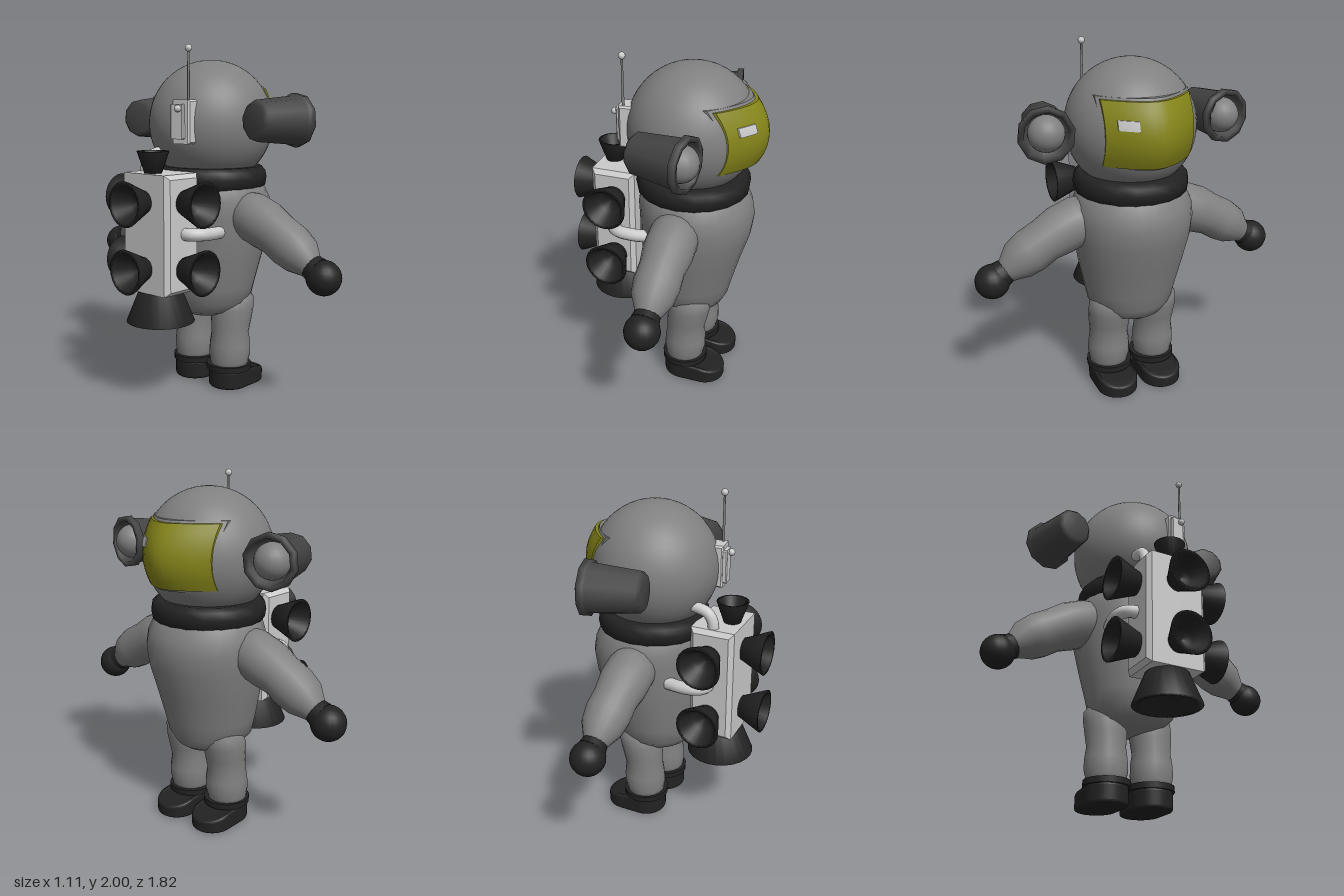
import * as THREE from 'three';

const V = (x, y, z) => new THREE.Vector3(x, y, z);
const mat = (color, opts = {}) => new THREE.MeshStandardMaterial({ color, ...opts });

export function createModel() {
  const model = new THREE.Group();
  const suit = mat(0x808080), dark = mat(0x222222), lampGrey = mat(0x444444);
  const light = mat(0xcccccc), gold = mat(0x85851a);
  const bellMat = mat(0x222222, { side: THREE.DoubleSide });
  const lampMat = mat(0x444444, { side: THREE.DoubleSide });

  const add = (name, geo, material, x = 0, y = 0, z = 0) => {
    const m = new THREE.Mesh(geo, material);
    m.name = name;
    m.position.set(x, y, z);
    model.add(m);
    return m;
  };
  const lathe = (pts, seg) => new THREE.LatheGeometry(pts.map(p => new THREE.Vector2(p[0], p[1])), seg);
  const aim = (mesh, dir) => mesh.quaternion.setFromUnitVectors(V(0, 1, 0), dir.clone().normalize());

  // Smooth skin over rings {c, u, v}: centre and the two half axes, with end caps
  const loft = (rings, seg = 24) => {
    const pos = [], idx = [];
    const n = rings.length;
    rings.forEach(({ c, u, v }) => {
      for (let j = 0; j < seg; j++) {
        const a = (j / seg) * Math.PI * 2;
        pos.push(...c.clone().addScaledVector(u, Math.cos(a)).addScaledVector(v, Math.sin(a)).toArray());
      }
    });
    pos.push(...rings[0].c.toArray(), ...rings[n - 1].c.toArray());
    for (let j = 0; j < seg; j++) {
      const k = (j + 1) % seg;
      for (let i = 0; i < n - 1; i++) {
        const a = i * seg + j, b = i * seg + k;
        idx.push(a, b, b + seg, a, b + seg, a + seg);
      }
      idx.push(n * seg, k, j, n * seg + 1, (n - 1) * seg + j, (n - 1) * seg + k);
    }
    const g = new THREE.BufferGeometry();
    g.setAttribute('position', new THREE.Float32BufferAttribute(pos, 3));
    g.setIndex(idx);
    g.computeVertexNormals();
    return g;
  };

  // Box with chamfered edges
  const chamferBox = (w, h, d, b) => {
    const x = w / 2 - b, y = h / 2 - b;
    const s = new THREE.Shape([[-x, -y], [x, -y], [x, y], [-x, y]].map(p => new THREE.Vector2(...p)));
    return new THREE.ExtrudeGeometry(s, {
      depth: d - 2 * b, bevelEnabled: true, bevelSize: b, bevelThickness: b, bevelSegments: 1,
    }).translate(0, 0, b - d / 2);
  };

  // Torso: y, centre x, half depth, half width
  const torso = [
    [0.42, 0.13, 0.07, 0.03], [0.44, 0.13, 0.15, 0.12], [0.47, 0.125, 0.2, 0.19], [0.53, 0.122, 0.235, 0.25],
    [0.62, 0.122, 0.257, 0.27], [0.8, 0.135, 0.293, 0.31], [0.95, 0.153, 0.322, 0.335],
    [1.06, 0.16, 0.33, 0.343], [1.14, 0.15, 0.325, 0.338], [1.21, 0.14, 0.3, 0.31], [1.26, 0.13, 0.26, 0.27],
  ];
  add('torso', loft(torso.map(([y, cx, rx, rz]) => ({ c: V(cx, y, 0), u: V(0, 0, rz), v: V(rx, 0, 0) })), 28), suit);

  // Helmet and collar ring
  add('helmet', new THREE.SphereGeometry(0.363, 40, 28), suit, 0.125, 1.572, 0);
  add('collar', lathe([[0.2, 1.19], [0.29, 1.19], [0.318, 1.215], [0.325, 1.26], [0.318, 1.3], [0.295, 1.325], [0.2, 1.325]], 20),
    dark, 0.133, 0, 0);

  // Visor pieces: boxes bent to a curved front
  const bent = (t, h, w, out, y, z = 0) => {
    const g = new THREE.BoxGeometry(t, h, w, 1, 8, 12).translate(0, y, z);
    const p = g.attributes.position;
    for (let i = 0; i < p.count; i++) {
      const curve = 0.55 - 0.155 * Math.pow(Math.abs(p.getZ(i)) / 0.25, 1.7) - 0.065 * Math.pow((p.getY(i) - 1.58) / 0.18, 2);
      p.setX(i, curve + out - t / 2 + p.getX(i));
    }
    g.computeVertexNormals();
    return g;
  };
  add('visor', bent(0.06, 0.345, 0.5, 0, 1.597), gold);
  add('visorFrame', bent(0.07, 0.37, 0.53, -0.018, 1.597), suit);
  add('visorGlint', bent(0.015, 0.05, 0.09, 0.006, 1.658, 0.155), light);

  for (const s of [1, -1]) {
    const side = s > 0 ? 'right' : 'left';

    // Arm: y, z, radius along a bent path
    const path = [[1.08, 0.2, 0.12], [1.05, 0.32, 0.14], [1.01, 0.42, 0.14], [0.965, 0.51, 0.125],
      [0.915, 0.595, 0.128], [0.87, 0.665, 0.115], [0.825, 0.725, 0.075], [0.8, 0.765, 0.06]];
    const pts = path.map(([y, z]) => V(0.125, y, z * s));
    add(side + 'Arm', loft(path.map(([, , r], i) => {
      const d = pts[Math.min(i + 1, pts.length - 1)].clone().sub(pts[Math.max(i - 1, 0)]).normalize();
      const u = V(1, 0, 0);
      return { c: pts[i], u: u.clone().multiplyScalar(r), v: d.cross(u).multiplyScalar(r) };
    }), 20), suit);
    add(side + 'Hand', new THREE.SphereGeometry(0.097, 20, 14), dark, 0.125, 0.77, 0.815 * s);
    aim(add(side + 'Cuff', new THREE.CylinderGeometry(0.078, 0.07, 0.05, 16), dark, 0.125, 0.812, 0.75 * s), V(0, -0.5, s));

    // Leg: y, centre x, radius
    const leg = [[0.11, 0.138, 0.11], [0.16, 0.14, 0.115], [0.2, 0.143, 0.124], [0.26, 0.145, 0.122], [0.33, 0.145, 0.112],
      [0.4, 0.153, 0.12], [0.48, 0.165, 0.126], [0.54, 0.175, 0.122], [0.58, 0.18, 0.09]];
    add(side + 'Leg', loft(leg.map(([y, cx, r]) => ({ c: V(cx, y, 0.143 * s), u: V(0, 0, r), v: V(r, 0, 0) })), 20), suit);
    add(side + 'AnkleBand', new THREE.CylinderGeometry(0.134, 0.134, 0.034, 24), dark, 0.14, 0.124, 0.138 * s);

    // Boot: rounded sole outline, top sloping to the toe
    const sole = new THREE.Shape();
    sole.absarc(0.138, 0, 0.105, Math.PI / 2, Math.PI * 1.5);
    sole.absarc(0.268, 0, 0.105, -Math.PI / 2, Math.PI / 2);
    const boot = new THREE.ExtrudeGeometry(sole, {
      depth: 0.08, bevelEnabled: true, bevelSize: 0.015, bevelThickness: 0.018, bevelSegments: 3, curveSegments: 14,
    }).rotateX(-Math.PI / 2).translate(0, 0.018, 0);
    const bp = boot.attributes.position;
    for (let i = 0; i < bp.count; i++) {
      const toe = THREE.MathUtils.clamp((bp.getX(i) - 0.22) / 0.165, 0, 1);
      bp.setY(i, bp.getY(i) * (1 - 0.38 * toe));
    }
    boot.computeVertexNormals();
    add(side + 'Boot', boot, dark, 0, 0, 0.14 * s);

    // Head lamp: hollow housing with a round bulb
    const dir = V(0.97, 0, 0.2 * s);
    aim(add(side + 'LampHousing', lathe([[0, 0], [0.09, 0], [0.112, 0.025], [0.135, 0.28], [0.15, 0.285], [0.15, 0.32],
      [0.12, 0.32], [0.105, 0.23], [0, 0.23]], 10), lampMat, -0.045, 1.595, 0.455 * s), dir);
    add(side + 'LampBulb', new THREE.SphereGeometry(0.098, 20, 14), suit, 0.222, 1.595, 0.508 * s);

    // Side hose from pack to torso
    const hose = new THREE.CatmullRomCurve3([V(-0.28, 0.98, 0.15 * s), V(-0.275, 0.98, 0.215 * s), V(-0.23, 0.98, 0.252 * s),
      V(-0.15, 0.975, 0.255 * s), V(-0.06, 0.97, 0.235 * s)]);
    add(side + 'Hose', new THREE.TubeGeometry(hose, 20, 0.036, 12), light);
  }

  // Backpack
  add('backpack', chamferBox(0.255, 0.665, 0.365, 0.025), light, -0.292, 0.977, 0);
  const pipe = new THREE.CatmullRomCurve3([V(-0.285, 1.28, -0.125), V(-0.28, 1.34, -0.125), V(-0.25, 1.39, -0.125), V(-0.14, 1.42, -0.12)]);
  add('airPipe', new THREE.TubeGeometry(pipe, 20, 0.031, 12), light);

  // Thruster bells: hollow cones with a thick lip
  const bell = (name, p, dir, r0, r1, len) => aim(add(name, lathe([[0, 0], [r0, 0], [r1, len], [r1 * 0.82, len],
    [r0 * 0.95, len * 0.4], [0, len * 0.25]], 24), bellMat, ...p), V(...dir));
  for (const y of [1.155, 0.785]) {
    bell('rearThruster', [-0.415, y, 0], [-1, 0, 0], 0.062, 0.126, 0.143);
    for (const s of [1, -1]) bell('sideThruster', [-0.283, y, 0.178 * s], [0, 0, s], 0.067, 0.127, 0.152);
  }
  bell('topThruster', [-0.345, 1.305, 0], [0, 1, 0], 0.047, 0.09, 0.125);
  bell('mainThruster', [-0.295, 0.65, 0], [0, -1, 0], 0.12, 0.195, 0.185);

  // Radio unit with antenna on the helmet
  add('radioBox', chamferBox(0.1, 0.24, 0.12, 0.01), light, -0.2, 1.588, 0.11).rotation.y = 0.12;
  add('radioPlate', chamferBox(0.03, 0.19, 0.085, 0.006), light, -0.257, 1.59, 0.105).rotation.y = 0.12;
  add('radioKnob', new THREE.SphereGeometry(0.02, 12, 8), light, -0.28, 1.66, 0.125);
  add('antennaRod', new THREE.CylinderGeometry(0.006, 0.008, 0.29, 8), suit, -0.22, 1.835, 0.15);
  add('antennaTip', new THREE.SphereGeometry(0.02, 12, 8), light, -0.22, 1.98, 0.15);

  return model;
}
